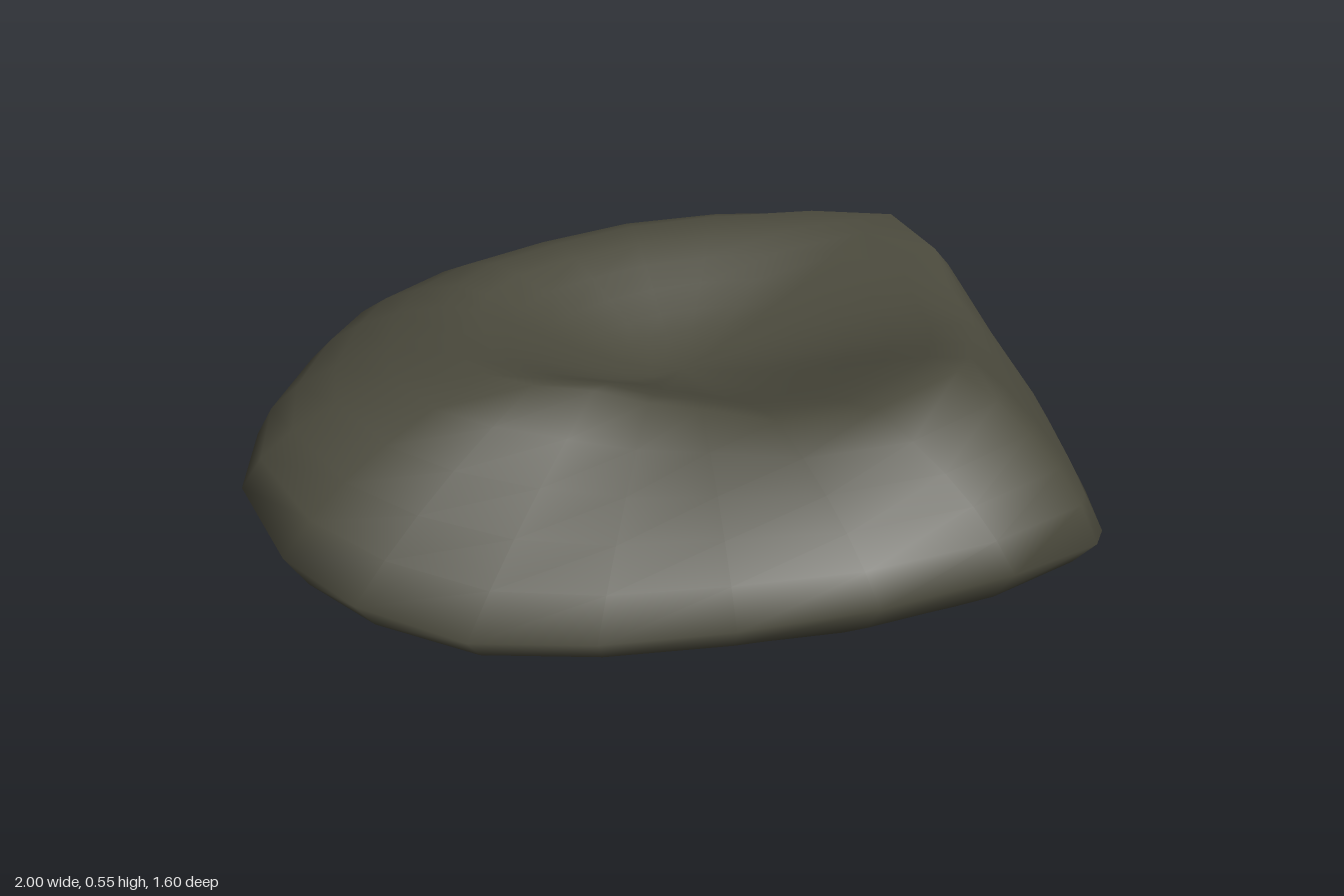
import * as THREE from 'three';
import { mergeVertices } from 'three/addons/utils/BufferGeometryUtils.js';

// Widest outline: x, z, height there, then scale and height of the upper crest,
// and slope of the side below it (0 bulging, 0.5 straight)
const OUTLINE = [
  [1.0, -0.33, 0.14, 0.79, 0.49, 0.35], [1.0, -0.15, 0.11, 0.76, 0.445, 0.35], [0.97, 0.12, 0.08, 0.73, 0.45, 0.38],
  [0.91, 0.33, 0.08, 0.69, 0.475, 0.38], [0.81, 0.55, 0.12, 0.67, 0.515, 0.34], [0.70, 0.69, 0.19, 0.66, 0.538, 0.28],
  [0.43, 0.80, 0.24, 0.60, 0.495, 0.3], [0.13, 0.79, 0.22, 0.52, 0.47, 0.34], [-0.15, 0.72, 0.19, 0.43, 0.475, 0.38],
  [-0.42, 0.65, 0.18, 0.40, 0.485, 0.4], [-0.66, 0.55, 0.18, 0.42, 0.52, 0.42], [-0.85, 0.40, 0.22, 0.47, 0.535, 0.4],
  [-0.96, 0.25, 0.27, 0.50, 0.545, 0.3], [-1.0, 0.02, 0.32, 0.51, 0.545, 0.17], [-0.93, -0.19, 0.33, 0.54, 0.545, 0.13],
  [-0.79, -0.41, 0.33, 0.60, 0.545, 0.13], [-0.67, -0.55, 0.33, 0.63, 0.545, 0.13], [-0.46, -0.67, 0.32, 0.66, 0.545, 0.12],
  [-0.17, -0.755, 0.32, 0.68, 0.54, 0.1], [0.13, -0.80, 0.32, 0.69, 0.54, 0.1], [0.44, -0.78, 0.31, 0.71, 0.535, 0.12],
  [0.74, -0.68, 0.28, 0.77, 0.525, 0.2], [0.93, -0.55, 0.21, 0.82, 0.515, 0.33],
];
// Underside rings: scale, share of the outline height
const UNDERSIDE = [[0, 0], [0.26, 0.015], [0.5, 0.09], [0.69, 0.22], [0.85, 0.43], [0.95, 0.7], [1, 1]];
const HOLLOW = { x: 0.05, y: 0.36, z: -0.1 };

const mix = THREE.MathUtils.lerp;
const bezier = (a, b, c, t) => mix(mix(a, b, t), mix(b, c, t), t);

function stoneGeometry() {
  const rings = [];
  // rounded belly
  for (const [s, h] of UNDERSIDE) rings.push(OUTLINE.map(([x, z, y]) => [x * s, y * h, z * s]));
  // sides rising to the crest
  for (let i = 1; i <= 5; i++) {
    const t = i / 5;
    rings.push(OUTLINE.map(([x, z, y, s, top, slope]) => {
      const k = bezier(1, mix(1, s, slope), s, t);
      return [x * k, bezier(y, mix(y, top, 0.85 - 0.7 * slope), top, t), z * k];
    }));
  }
  // crest sinking into the hollow, steepest near the rim
  for (let i = 1; i <= 7; i++) {
    const t = i / 7;
    const drop = THREE.MathUtils.smoothstep(t ** 0.85, 0, 1);
    rings.push(OUTLINE.map(([x, z, , s, top]) =>
      [mix(x * s, HOLLOW.x, t), mix(top, HOLLOW.y, drop), mix(z * s, HOLLOW.z, t)]));
  }

  const n = OUTLINE.length;
  const index = [];
  for (let r = 0; r < rings.length - 1; r++) {
    for (let j = 0; j < n; j++) {
      const a = r * n + j, b = r * n + (j + 1) % n;
      index.push(a, a + n, b, b, a + n, b + n);
    }
  }
  const geometry = new THREE.BufferGeometry();
  geometry.setAttribute('position', new THREE.Float32BufferAttribute(rings.flat(2), 3));
  geometry.setIndex(index);
  const merged = mergeVertices(geometry, 1e-4);
  merged.computeVertexNormals();
  return merged;
}

export function createModel() {
  const darkStone = new THREE.MeshStandardMaterial({ color: 0x4a493c });
  darkStone.name = 'dark stone';
  const stone = new THREE.Mesh(stoneGeometry(), darkStone);
  stone.name = 'stone';
  const group = new THREE.Group();
  group.name = 'flatRock';
  group.add(stone);
  return group;
}
